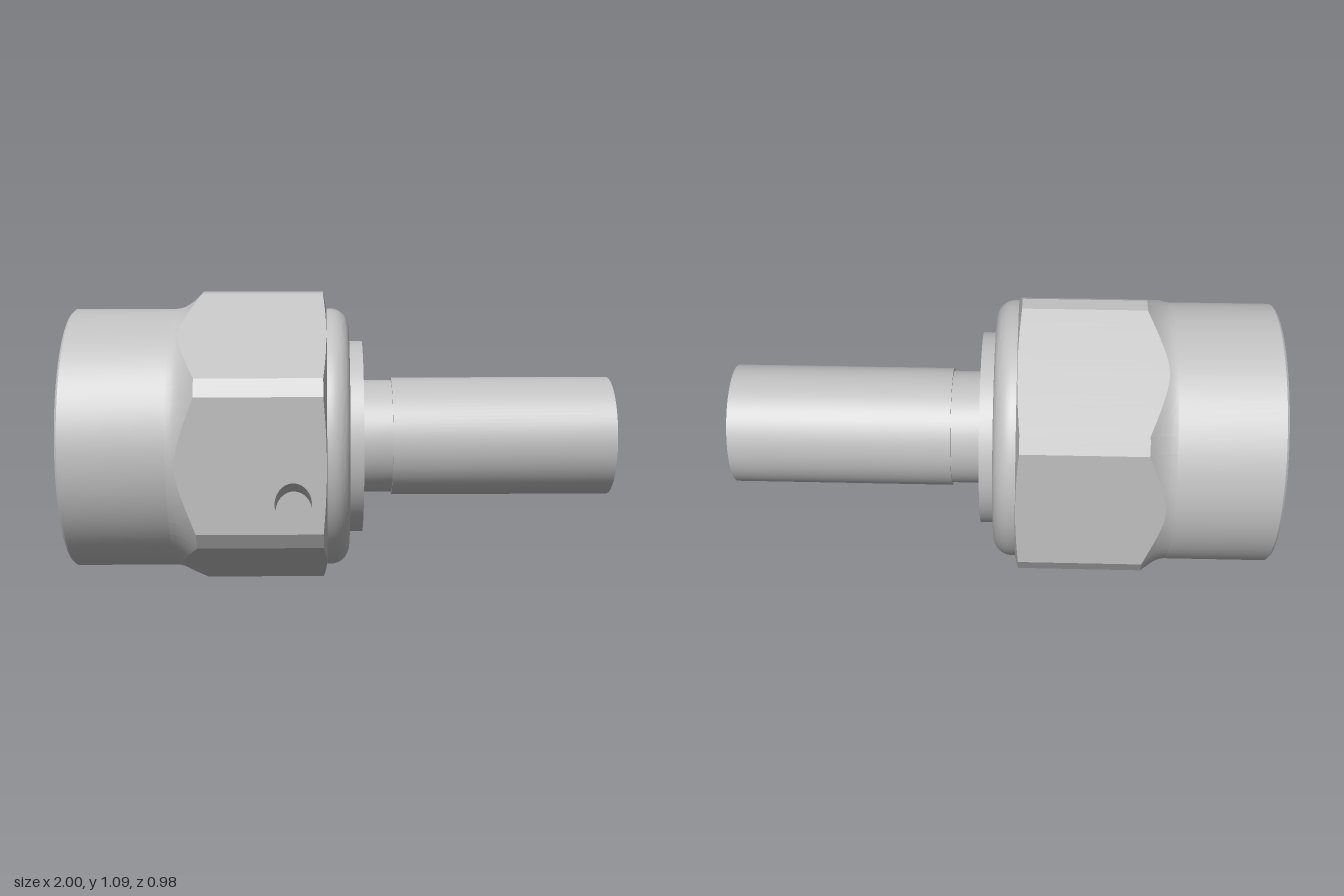
import * as THREE from 'three';
import { toCreasedNormals } from 'three/addons/utils/BufferGeometryUtils.js';

const AXIS_Y = 0.546;
const FLAT = 0.49, CORNER = 0.546, BODY = 0.483;
const DEG = Math.PI / 180;

// Surface through rows of [x, y, z] points
function grid(rows) {
  const pos = [];
  for (let i = 0; i < rows.length - 1; i++) {
    for (let j = 0; j < rows[i].length - 1; j++) {
      const a = rows[i][j], b = rows[i][j + 1], c = rows[i + 1][j + 1], d = rows[i + 1][j];
      pos.push(...a, ...b, ...c, ...a, ...c, ...d);
    }
  }
  const g = new THREE.BufferGeometry();
  g.setAttribute('position', new THREE.Float32BufferAttribute(pos, 3));
  return toCreasedNormals(g, 0.4);
}

// Turned part along x from [x, radius] points
function turned(profile) {
  const g = new THREE.LatheGeometry(profile.map(([x, r]) => new THREE.Vector2(r, x)), 96);
  g.rotateZ(-Math.PI / 2);
  return toCreasedNormals(g, 0.4);
}

// Where the fillet and the end chamfer of the hexagon reach a given radius
const leftX = (r) => -0.62 + 0.1 * Math.pow(Math.max(0, r - BODY) / (CORNER - BODY), 0.55);
const rightX = (r) => -0.062 - 0.013 * (r - BODY) / (CORNER - BODY);

export function createModel() {
  const metal = new THREE.MeshStandardMaterial({ color: 0xc0c0c0 });
  metal.name = 'plainMetal';
  const group = new THREE.Group();
  group.name = 'fitting';
  const add = (name, geometry) => {
    const mesh = new THREE.Mesh(geometry, metal);
    mesh.name = name;
    mesh.position.y = AXIS_Y;
    group.add(mesh);
  };

  // Nut sleeve with countersunk bore
  add('nutSleeve', turned([
    [-0.2, 0.07], [-0.2, 0.4], [-0.965, 0.4], [-1, 0.45], [-1, 0.475], [-0.992, BODY], [-0.62, BODY],
  ]));

  // Rounded collar on the nut
  const collar = [[-0.075, BODY]];
  for (let i = 0; i <= 12; i++) {
    const a = (i / 12) * Math.PI / 2;
    collar.push([-0.05 + 0.07 * Math.sin(a), 0.413 + 0.07 * Math.cos(a)]);
  }
  collar.push([0.02, 0.374], [0, 0.36]);
  add('nutCollar', turned(collar));

  // Flange, neck, tube and inner nozzle with through bore
  add('tubeStem', turned([
    [-0.02, 0.36], [0.07, 0.36], [0.07, 0.212], [0.18, 0.212], [0.18, 0.222], [1, 0.222],
    [1, 0.193], [0.75, 0.17], [0.75, 0.11], [0.95, 0.11], [0.98, 0.088], [0.98, 0.07], [-0.2, 0.07],
  ]));

  // Hexagon with cut corners: six wide flats and six narrow ones
  const half = Math.acos(FLAT / Math.hypot(FLAT, (CORNER - FLAT * Math.cos(30 * DEG)) / 0.5));
  const point = (x, r, a) => [x, r * Math.sin(a), r * Math.cos(a)];
  const frontOutline = [[], []];
  for (let k = 0; k < 12; k++) {
    const wide = k % 2 === 0;
    const mid = k * 30 * DEG;
    const span = wide ? half : 30 * DEG - half;
    const steps = wide ? 20 : 4;
    const left = [], face = [], right = [];
    for (let i = 0; i <= steps; i++) {
      const off = span * (2 * i / steps - 1);
      const a = mid + off;
      const r = (wide ? FLAT : CORNER) / Math.cos(off);
      const fillet = [];
      for (let j = 0; j <= 8; j++) {
        const rj = BODY + (r - BODY) * Math.pow(j / 8, 1.5);
        fillet.push(point(leftX(rj), rj, a));
      }
      left.push(fillet);
      face.push([point(leftX(r), r, a), point(rightX(r), r, a)]);
      right.push([point(rightX(r), r, a), point(rightX(BODY), BODY, a)]);
      if (k === 0) {
        frontOutline[0].push(new THREE.Vector2(leftX(r), r * Math.sin(a)));
        frontOutline[1].unshift(new THREE.Vector2(rightX(r), r * Math.sin(a)));
      }
    }
    add('hexFillet', grid(left));
    add('hexChamfer', grid(right));
    if (k > 0) add(wide ? 'hexFlat' : 'hexCorner', grid(face));
  }

  // Front flat, pierced by a slanted blind hole
  const hx = -0.18, hy = -0.136, rx = 0.065, ry = 0.077;
  const flat = new THREE.Shape([...frontOutline[0], ...frontOutline[1]]);
  const rim = [], deep = [];
  for (let i = 0; i <= 40; i++) {
    const a = (i / 40) * Math.PI * 2;
    const x = hx + rx * Math.cos(a), y = hy + ry * Math.sin(a);
    rim.push([x, y, FLAT]);
    deep.push([x, y - 0.05, FLAT - 0.08]);
  }
  flat.holes.push(new THREE.Path(rim.slice(0, -1).map(([x, y]) => new THREE.Vector2(x, y))));
  add('hexFrontFlat', new THREE.ShapeGeometry(flat).translate(0, 0, FLAT));
  add('holeWall', grid([rim, deep]));
  const floor = new THREE.CircleGeometry(1, 40);
  floor.scale(rx, ry, 1).translate(hx, hy - 0.05, FLAT - 0.08);
  add('holeFloor', floor);

  return group;
}
